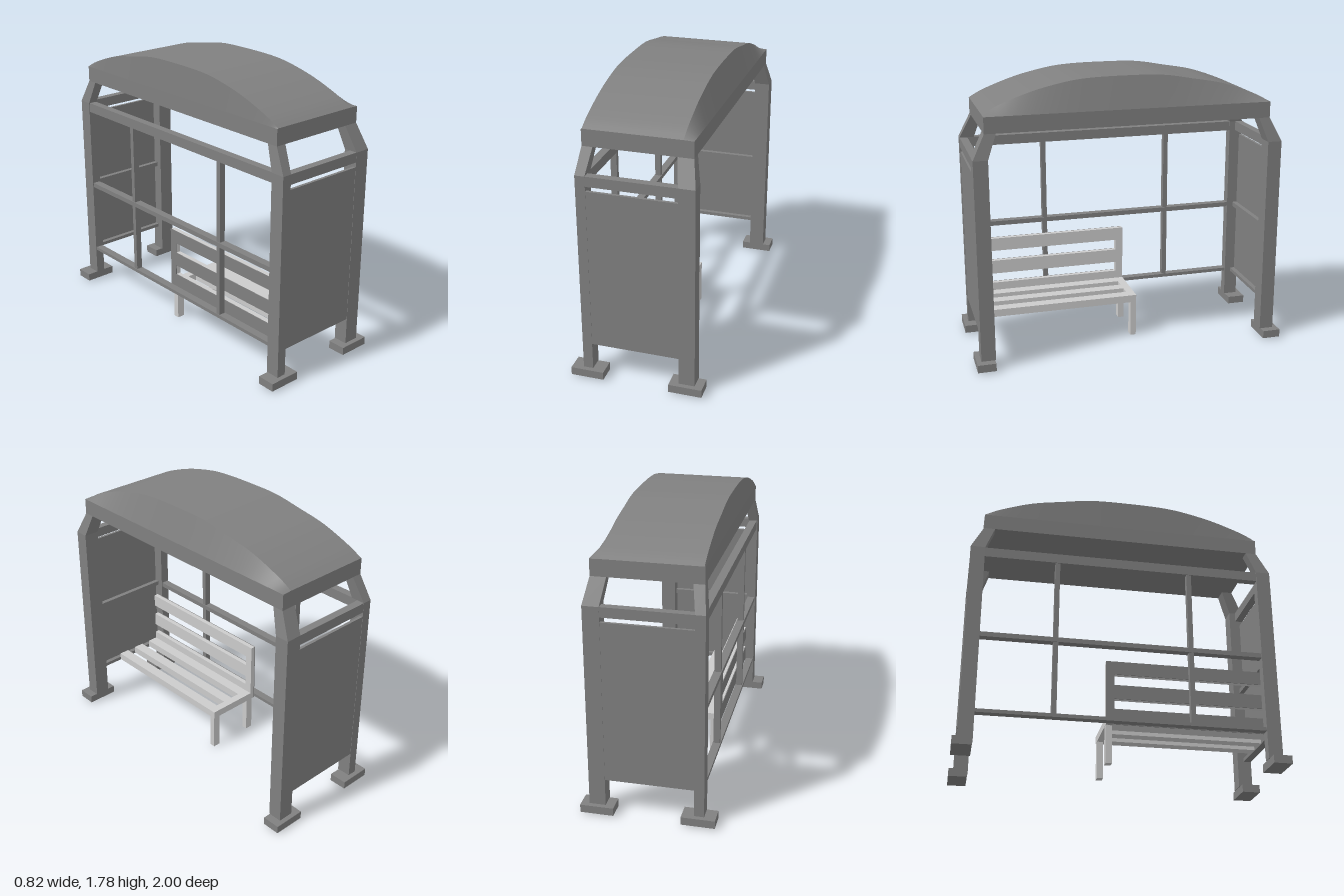
import * as THREE from 'three';

const frameMat = new THREE.MeshStandardMaterial({ color: 0x808080 });
const benchMat = new THREE.MeshStandardMaterial({ color: 0xcccccc });

// Box given by its limits on each axis
function slab(parent, name, [x0, x1], [y0, y1], [z0, z1], mat = frameMat) {
  const mesh = new THREE.Mesh(new THREE.BoxGeometry(x1 - x0, y1 - y0, z1 - z0), mat);
  mesh.position.set((x0 + x1) / 2, (y0 + y1) / 2, (z0 + z1) / 2);
  mesh.name = name;
  parent.add(mesh);
  return mesh;
}

// Straight post whose top section leans in towards the roof
function post(parent, name, xLow, xHigh, side) {
  const geo = new THREE.BoxGeometry(1, 1, 1, 1, 2, 1);
  const levels = [
    { y: 0.06, x: xLow, z: [0.88, 0.97] },
    { y: 1.33, x: xLow, z: [0.88, 0.97] },
    { y: 1.48, x: xHigh, z: [0.825, 0.895] },
  ];
  const p = geo.attributes.position;
  for (let i = 0; i < p.count; i++) {
    const l = levels[Math.round((p.getY(i) + 0.5) * 2)];
    const near = p.getZ(i) * side > 0 ? 1 : 0;
    p.setXYZ(i, l.x[p.getX(i) > 0 ? 1 : 0], l.y, side * l.z[near]);
  }
  const flat = geo.toNonIndexed();
  flat.computeVertexNormals();
  const mesh = new THREE.Mesh(flat, frameMat);
  mesh.name = name;
  parent.add(mesh);
}

// Curved canopy: the top follows an arch, its front edge slopes back
function canopy(parent) {
  const arch = new THREE.SplineCurve([
    [-0.895, 1.582], [-0.8, 1.63], [-0.6, 1.7], [-0.4, 1.738], [-0.2, 1.77], [0.04, 1.775],
    [0.25, 1.77], [0.4, 1.752], [0.6, 1.705], [0.8, 1.633], [0.895, 1.582],
  ].map(([z, y]) => new THREE.Vector2(z, y)));
  const geo = new THREE.BoxGeometry(1, 1, 1, 1, 1, 40);
  const p = geo.attributes.position;
  for (let i = 0; i < p.count; i++) {
    const a = arch.getPoint(p.getZ(i) + 0.5);
    const top = p.getY(i) > 0, front = p.getX(i) > 0;
    p.setXYZ(i, front ? (top ? 0.27 : 0.33) : (top ? -0.315 : -0.32), top ? a.y : 1.58, a.x);
  }
  geo.computeVertexNormals();
  const mesh = new THREE.Mesh(geo, frameMat);
  mesh.name = 'roofArch';
  parent.add(mesh);
  slab(parent, 'roofBand', [-0.32, 0.33], [1.48, 1.58], [-0.895, 0.895]);
}

export function createModel() {
  const model = new THREE.Group();
  model.name = 'busShelter';
  const group = (name) => {
    const g = new THREE.Group();
    g.name = name;
    model.add(g);
    return g;
  };

  // Roof
  canopy(group('roof'));

  // End walls with posts, feet, panel and rails
  for (const side of [1, -1]) {
    const end = group(side > 0 ? 'frontEnd' : 'rearEnd');
    const span = (a, b) => (side > 0 ? [a, b] : [-b, -a]);
    post(end, 'backPost', [-0.34, -0.28], [-0.32, -0.255], side);
    post(end, 'openSidePost', [0.26, 0.36], [0.235, 0.33], side);
    slab(end, 'backFoot', [-0.41, -0.205], [0.01, 0.06], span(0.885, 1));
    slab(end, 'openSideFoot', [0.205, 0.41], [0.01, 0.06], span(0.885, 1));
    slab(end, 'endPanel', [-0.28, 0.26], [0.232, 1.238], span(0.95, 0.968));
    slab(end, 'topRail', [-0.28, 0.26], [1.268, 1.33], span(0.92, 0.969));
    slab(end, 'middleRail', [-0.28, 0.26], [0.72, 0.75], span(0.92, 0.95));
    slab(end, 'bottomRail', [-0.28, 0.26], [0.232, 0.255], span(0.92, 0.95));
  }

  // Back wall frame
  const back = group('backFrame');
  for (const [name, y0, y1] of [['topRail', 1.268, 1.33], ['middleRail', 0.72, 0.75], ['bottomRail', 0.235, 0.257]])
    slab(back, name, [-0.335, -0.285], [y0, y1], [-0.88, 0.88]);
  for (const z of [0.427, -0.42])
    slab(back, 'mullion', [-0.33, -0.29], [0.257, 1.268], [z - 0.015, z + 0.015]);

  // Bench: slatted seat and backrest fixed to one end wall
  const bench = group('bench');
  const run = [-0.05, 0.92];
  for (const x of [[-0.24, -0.17], [-0.105, -0.035], [0.03, 0.1]])
    slab(bench, 'seatSlat', x, [0.235, 0.283], run, benchMat);
  slab(bench, 'seatEndBar', [-0.24, 0.1], [0.235, 0.283], [-0.1, -0.05], benchMat);
  for (const x of [[-0.255, -0.205], [0.05, 0.1]])
    slab(bench, 'benchLeg', x, [0, 0.235], [-0.098, -0.06], benchMat);

  // Backrest with a darker rear face
  for (const [x, mat, label] of [[[-0.27, -0.24], benchMat, 'backrest'], [[-0.275, -0.27], frameMat, 'backrestRear']]) {
    for (const y of [[0.235, 0.335], [0.4, 0.49], [0.56, 0.645]])
      slab(bench, label + 'Slat', x, y, run, mat);
    slab(bench, label + 'EndBar', x, [0.235, 0.645], [-0.1, -0.05], mat);
  }
  return model;
}
